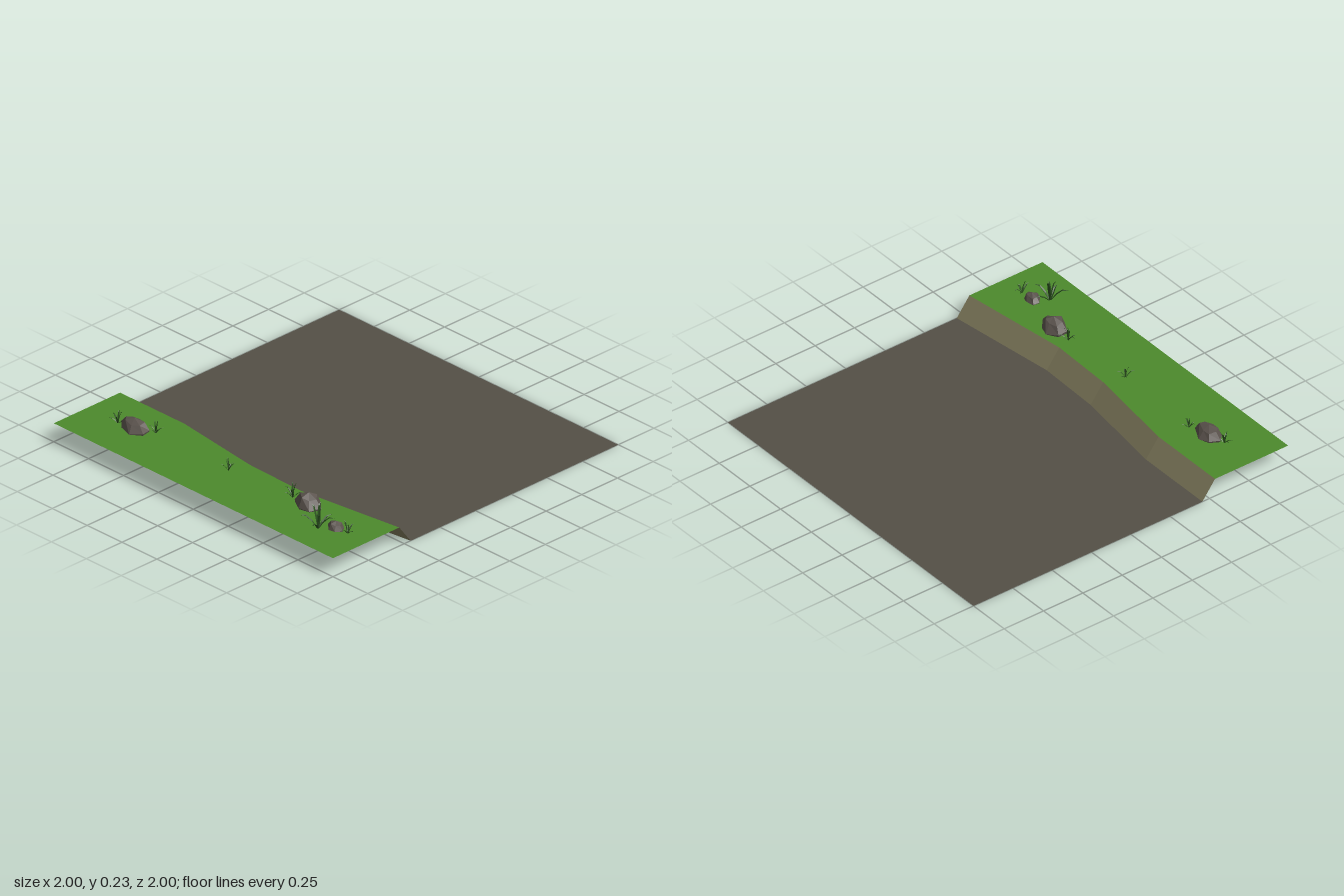
import * as THREE from 'three';

const GRASS_Y = 0.105;
const mat = (color) => new THREE.MeshStandardMaterial({ color, flatShading: true, side: THREE.DoubleSide });

// Surface lofted through rows of points; closed rows wrap around.
function loft(name, rows, material, closed = false) {
  const n = rows[0].length, idx = [];
  for (let r = 0; r < rows.length - 1; r++) {
    for (let i = 0; i < (closed ? n : n - 1); i++) {
      const a = r * n + i, b = r * n + ((i + 1) % n);
      idx.push(a, a + n, b, b, a + n, b + n);
    }
  }
  const geo = new THREE.BufferGeometry();
  geo.setAttribute('position', new THREE.Float32BufferAttribute(rows.flat(2), 3));
  geo.setIndex(idx);
  geo.computeVertexNormals();
  const mesh = new THREE.Mesh(geo, material);
  mesh.name = name;
  return mesh;
}

// Faceted rock, open underneath, from a ground outline of [x, z] points.
function makeRock(outline, top, material) {
  const cx = outline.reduce((s, p) => s + p[0], 0) / outline.length;
  const cz = outline.reduce((s, p) => s + p[1], 0) / outline.length;
  const base = 0.095, h = top - base;
  const levels = [[0.94, 0], [1, 0.22], [0.62, 0.74], [0, 1]];
  const rows = levels.map(([k, v], r) => outline.map(([x, z], i) => {
    const wobble = r === 2 ? 1 + 0.14 * Math.sin(i * 2.4) : 1;
    const lift = r === 1 || r === 2 ? 0.09 * Math.sin(i * 1.9 + r) : 0;
    return [cx + (x - cx) * k * wobble, base + h * (v + lift), cz + (z - cz) * k * wobble];
  }));
  // rows run clockwise seen from above, so reverse for outward faces
  return loft('rock', rows.map((row) => row.reverse()), material, true);
}

// Tuft of folded, arching blades.
function makeTuft([x, z, spread, height, turn], material) {
  const tuft = new THREE.Group();
  tuft.name = 'grassTuft';
  const count = 7;
  for (let i = 0; i < count; i++) {
    const angle = turn + (i * Math.PI * 2) / count + 0.25 * Math.sin(i * 2.7 + turn);
    const upright = i % 3 === 0;
    const reach = spread * (upright ? 0.4 : 0.85 + 0.15 * Math.sin(i * 1.7));
    const tall = height * (upright ? 0.85 + 0.15 * Math.cos(i) : 0.52 + 0.1 * Math.sin(i * 2.1));
    const rows = [[0, 0, 0.5], [0.3, 0.55, 1], [0.64, 0.92, 0.7], [1, upright ? 1 : 0.92, 0]].map(([u, v, w]) => {
      const half = 0.085 * spread * w;
      return [
        [reach * u, tall * v, -half],
        [reach * u, tall * v - half * 0.7, 0],
        [reach * u, tall * v, half],
      ];
    });
    const blade = loft('blade', rows, material);
    blade.rotation.y = angle;
    tuft.add(blade);
  }
  tuft.position.set(x, GRASS_Y - 0.005, z);
  return tuft;
}

export function createModel() {
  const model = new THREE.Group();
  model.name = 'riverbank';

  // Winding bank: top lip [x, z], with the foot offset sideways
  const lip = [[-0.535, -1], [-0.535, -0.54], [-0.605, 0], [-0.615, 0.37], [-0.535, 1]];
  const line = (dx, y) => lip.map(([x, z]) => [x + dx, y, z]);
  const edge = (x, y) => lip.map(([, z]) => [x, y, z]);
  const lipLine = line(0, GRASS_Y), footLine = line(0.08, 0);
  const flip = (rows) => rows.map((row) => [...row].reverse());
  model.add(
    loft('grassStrip', flip([edge(-1, GRASS_Y), lipLine]), mat(0x4c8a2c)),
    loft('bankSlope', flip([lipLine, footLine]), mat(0x807b5c)),
    loft('lowerGround', flip([footLine, edge(1, 0)]), mat(0x545046)),
  );

  // Rocks
  const stone = mat(0x5a524c);
  const rocks = [
    [0.165, [[-0.75, -0.77], [-0.7, -0.74], [-0.68, -0.68], [-0.72, -0.6], [-0.775, -0.59], [-0.815, -0.65], [-0.79, -0.73]]],
    [0.18, [[-0.72, 0.44], [-0.665, 0.44], [-0.63, 0.5], [-0.645, 0.55], [-0.69, 0.6], [-0.745, 0.57], [-0.76, 0.51]]],
    [0.145, [[-0.77, 0.73], [-0.735, 0.735], [-0.725, 0.78], [-0.735, 0.81], [-0.77, 0.835], [-0.8, 0.81], [-0.805, 0.77]]],
  ];
  for (const [top, outline] of rocks) model.add(makeRock(outline, top, stone));

  // Tufts: x, z, spread, height, turn
  const leaf = mat(0x2c5220);
  const tufts = [
    [-0.765, -0.78, 0.058, 0.067, 0.4],
    [-0.705, -0.57, 0.042, 0.07, 1.1],
    [-0.72, -0.035, 0.045, 0.07, 2.0],
    [-0.69, 0.395, 0.055, 0.082, 0.7],
    [-0.83, 0.72, 0.098, 0.135, 1.6],
    [-0.76, 0.86, 0.056, 0.07, 2.6],
  ];
  for (const t of tufts) model.add(makeTuft(t, leaf));
  return model;
}
